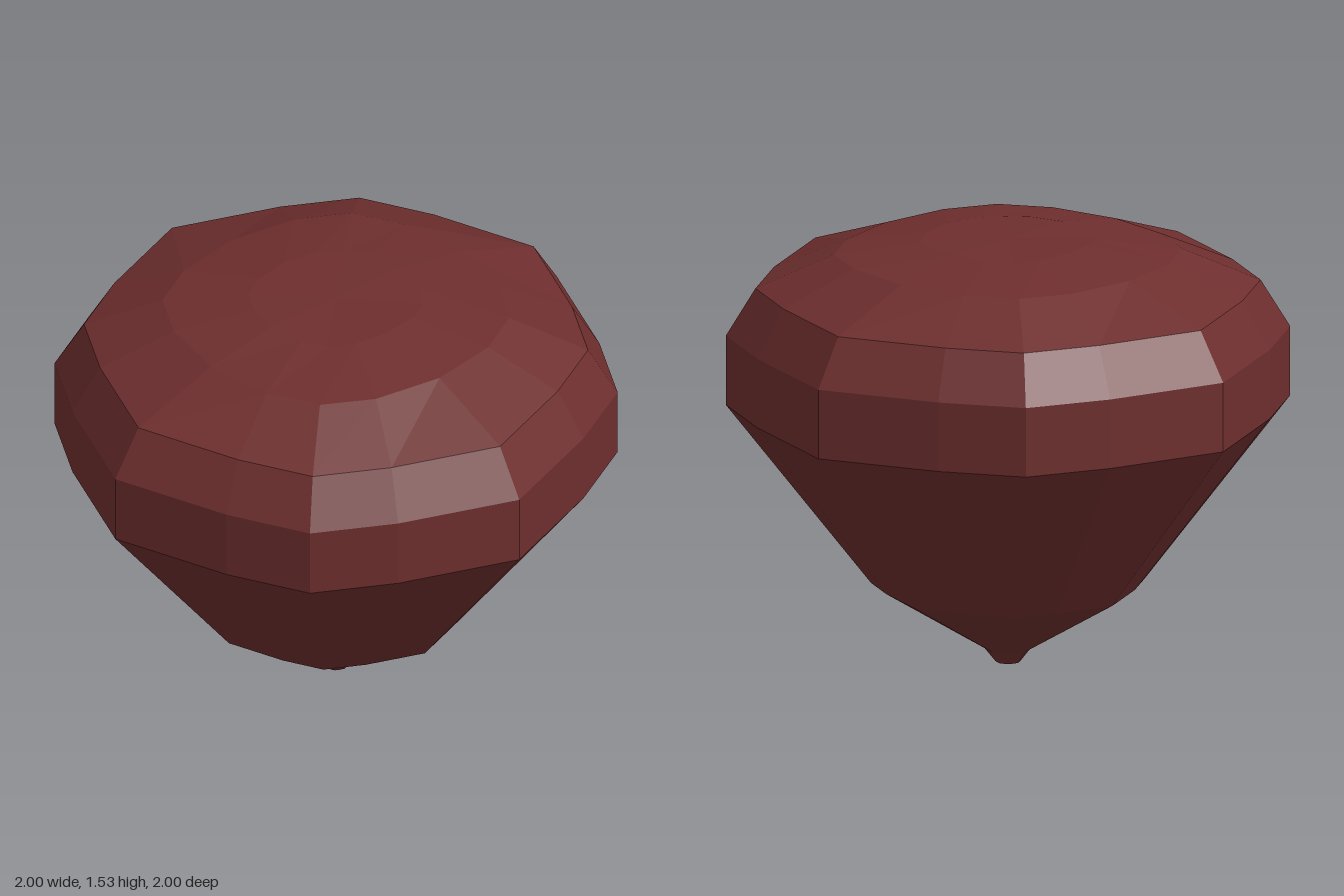
import * as THREE from 'three';

// Quarter outline (x, z) of the sixteen-sided girdle, repeated by quarter turns
const QUARTER = [[0, 1], [0.42, 0.845], [0.697, 0.697], [0.845, 0.42]];

// One closed ring: a scaled outline at a height, optionally sagging at the diagonals
function ring(radius, y, outline = QUARTER, sag = 0) {
  const points = [];
  for (let q = 0; q < 4; q++) {
    outline.forEach(([x, z], i) => {
      const c = [1, 0, -1, 0][q], s = [0, 1, 0, -1][q];
      const drop = sag * [0, 0.5, 1, 0.5][i];
      points.push([(x * c + z * s) * radius, y - drop, (z * c - x * s) * radius]);
    });
  }
  return points;
}

// Skin between rings from bottom to top, with closed ends
function loft(rings) {
  const n = rings[0].length;
  const pos = rings.flat(2);
  const index = [];
  for (let r = 0; r < rings.length - 1; r++) {
    for (let i = 0; i < n; i++) {
      const j = (i + 1) % n;
      const a = r * n + i, b = r * n + j, c = a + n, d = b + n;
      index.push(a, b, d, a, d, c);
    }
  }
  const bottom = pos.length / 3, top = bottom + 1, last = (rings.length - 1) * n;
  pos.push(0, rings[0][0][1], 0, 0, rings[rings.length - 1][0][1], 0);
  for (let i = 0; i < n; i++) {
    const j = (i + 1) % n;
    index.push(bottom, j, i, top, last + i, last + j);
  }
  const g = new THREE.BufferGeometry();
  g.setAttribute('position', new THREE.Float32BufferAttribute(pos, 3));
  g.setIndex(index);
  const flat = g.toNonIndexed();
  flat.computeVertexNormals();
  return flat;
}

export function createModel() {
  const group = new THREE.Group();
  group.name = 'facetedGem';
  const darkRed = new THREE.MeshStandardMaterial({ color: 0x6e2e2e });
  darkRed.name = 'darkRed';

  // The inner crown rings are slightly squarer than the girdle
  const crown = [[0, 1], [0.45, 0.93], [0.76, 0.76], [0.93, 0.45]];

  const body = new THREE.Mesh(loft([
    ring(0.045, 0),                  // blunt tip
    ring(0.085, 0.05),
    ring(0.485, 0.29),               // lower cone
    ring(1, 0.945),                  // girdle
    ring(1, 1.195),
    ring(0.895, 1.365),              // crown
    ring(0.565, 1.483, crown),
    ring(0.285, 1.532, crown, 0.008),
  ]), darkRed);
  body.name = 'gemBody';
  group.add(body);
  return group;
}
